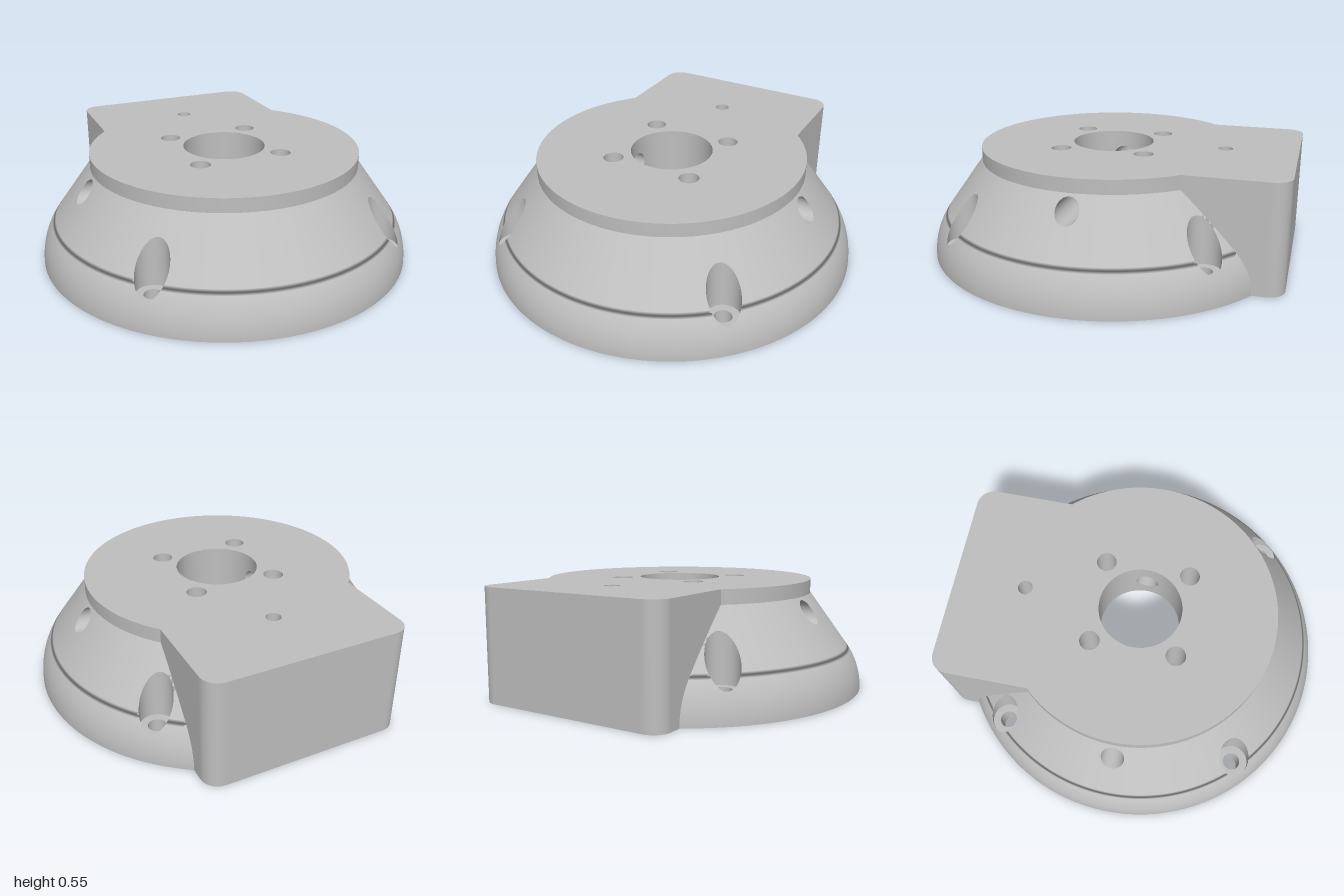
import * as THREE from 'three';

const H = 0.55, COLLAR_Y = 0.48, COLLAR_R = 0.685, BASE_R = 0.95;
const CAVITY_R = 0.738, CAVITY_Y = 0.275, BORE_R = 0.209;
const BOX_W = 0.507, BOX_D = 0.952, BOX_FILLET = 0.085;
const SCREW = 0.594, SCREW_R = 0.042, SINK_R = 0.08, SINK_Y = 0.135;
const SIDE_Y = 0.41, SIDE_R = 0.057;
const BOLT = 0.215, BOLT_R = 0.05, PIN_V = 0.59, PIN_R = 0.037;
const CORNERS = [[1, 1], [1, -1], [-1, 1], [-1, -1]];

// Outer radius by height: rounded foot, straight taper, upright collar
const bodyRadius = (y) =>
  y < 0.204 ? 0.6 + Math.sqrt(0.1225 - y * y) : Math.max(COLLAR_R, 0.8846 - (y - 0.204) * 0.723);

// Trim rules: positive where the surface stays
const radial = (p) => Math.hypot(p.x, p.z);
const outsideBox = (p) => Math.max(Math.abs(p.x) - BOX_W, p.z);
const outsideSinks = (p) => Math.hypot(Math.abs(p.x) - SCREW, Math.abs(p.z) - SCREW) - SINK_R;
const outsideSideHoles = (p) => Math.hypot(p.y - SIDE_Y, p.z) - SIDE_R;
const insideBody = (p) => bodyRadius(p.y) - radial(p);

// Grid a surface over (u, v) in 0..1 and cut it along keep(p) = 0
function trimmed(surface, nu, nv, keep = () => 1) {
  const positions = [], normals = [], e = 1e-4;
  const value = ([u, v]) => keep(surface(u, v));
  const emit = ([u, v]) => {
    const du = surface(Math.min(u + e, 1), v).sub(surface(Math.max(u - e, 0), v));
    const dv = surface(u, Math.min(v + e, 1)).sub(surface(u, Math.max(v - e, 0)));
    positions.push(...surface(u, v).toArray());
    normals.push(...du.cross(dv).normalize().toArray());
  };
  const crossing = (a, b) => {
    let lo = a, hi = b;
    for (let i = 0; i < 18; i++) {
      const mid = [(lo[0] + hi[0]) / 2, (lo[1] + hi[1]) / 2];
      if (value(mid) > 0) lo = mid; else hi = mid;
    }
    return lo;
  };
  const clip = (triangle) => {
    const kept = triangle.map((c) => value(c) > 0);
    const poly = [];
    triangle.forEach((a, i) => {
      const j = (i + 1) % 3, b = triangle[j];
      if (kept[i]) poly.push(a);
      if (kept[i] !== kept[j]) poly.push(kept[i] ? crossing(a, b) : crossing(b, a));
    });
    for (let i = 2; i < poly.length; i++) [poly[0], poly[i - 1], poly[i]].forEach(emit);
  };
  for (let i = 0; i < nu; i++) {
    for (let j = 0; j < nv; j++) {
      const a = [i / nu, j / nv], b = [(i + 1) / nu, j / nv];
      const c = [(i + 1) / nu, (j + 1) / nv], d = [i / nu, (j + 1) / nv];
      clip([a, b, c]);
      clip([a, c, d]);
    }
  }
  const geometry = new THREE.BufferGeometry();
  geometry.setAttribute('position', new THREE.Float32BufferAttribute(positions, 3));
  geometry.setAttribute('normal', new THREE.Float32BufferAttribute(normals, 3));
  return geometry;
}

// Upright round surface; facing 1 looks outward, -1 looks inward
const turned = (radius, y0, y1, facing = 1, cx = 0, cz = 0) => (u, v) => {
  const a = facing * u * Math.PI * 2, y = y0 + (y1 - y0) * v, r = radius(y);
  return new THREE.Vector3(cx + r * Math.sin(a), y, cz + r * Math.cos(a));
};

// Box outline from its right side round the back to its left side
function traceBox(path, start) {
  const cx = BOX_W - BOX_FILLET, cy = BOX_D - BOX_FILLET;
  path.moveTo(BOX_W, start);
  path.lineTo(BOX_W, cy);
  path.absarc(cx, cy, BOX_FILLET, 0, Math.PI / 2, false);
  path.lineTo(-cx, BOX_D);
  path.absarc(-cx, cy, BOX_FILLET, Math.PI / 2, Math.PI, false);
  path.lineTo(-BOX_W, start);
  return path;
}

// Disc joined with the box
function plateShape(r) {
  const start = Math.sqrt(r * r - BOX_W * BOX_W), a = Math.atan2(start, BOX_W);
  const shape = traceBox(new THREE.Shape(), start);
  shape.absarc(0, 0, r, Math.PI - a, Math.PI * 2 + a, false);
  return shape;
}

const disc = (r) => new THREE.Shape().absarc(0, 0, r, 0, Math.PI * 2, false);

// Flat face at height y with round holes [x, depth, radius]
function face(shape, holes, y, up) {
  for (const [x, d, r] of holes) {
    shape.holes.push(new THREE.Path().absarc(x, d, r, 0, Math.PI * 2, true));
  }
  const geometry = new THREE.ShapeGeometry(shape, 96).rotateX(-Math.PI / 2);
  if (!up) {
    geometry.index.array.reverse();
    const n = geometry.attributes.normal;
    for (let i = 0; i < n.count; i++) n.setY(i, -1);
  }
  return geometry.translate(0, y, 0);
}

export function createModel() {
  const model = new THREE.Group();
  model.name = 'mountingHub';
  const body = new THREE.Group();
  body.name = 'hubBody';
  body.rotation.y = 0.408;
  body.position.z = 0.045;
  model.add(body);

  const grey = new THREE.MeshStandardMaterial({ color: 0xbfbfbf });
  grey.name = 'plain grey';
  const add = (name, geometry) => {
    const mesh = new THREE.Mesh(geometry, grey);
    mesh.name = name;
    body.add(mesh);
  };
  const hole = (name, r, y0, y1, x = 0, z = 0) =>
    add(name, trimmed(turned(() => r, y0, y1, -1, x, z), 48, 1));

  // Outer shell
  add('taperedFlank', trimmed(turned(bodyRadius, 0, COLLAR_Y), 320, 40,
    (p) => Math.min(outsideBox(p), outsideSinks(p), outsideSideHoles(p))));
  add('collar', trimmed(turned(() => COLLAR_R, COLLAR_Y, H), 192, 3, outsideBox));

  // Rear block walls, starting where they leave the shell
  const outline = traceBox(new THREE.Path(), 0.3);
  add('rearBlock', trimmed((u, v) => {
    const q = outline.getPointAt(u);
    return new THREE.Vector3(q.x, v * H, -q.y);
  }, 180, 24, (p) => -insideBody(p)));

  // Flat faces
  const plateHoles = [[0, 0, BORE_R], [0, PIN_V, PIN_R],
    ...CORNERS.map(([x, d]) => [x * BOLT, d * BOLT, BOLT_R])];
  const screwHoles = CORNERS.map(([x, d]) => [x * SCREW, d * SCREW, SCREW_R]);
  add('topFace', face(plateShape(COLLAR_R), plateHoles, H, true));
  add('cavityCeiling', face(disc(CAVITY_R), plateHoles, CAVITY_Y, false));
  add('baseFace', face(plateShape(BASE_R), [[0, 0, CAVITY_R], ...screwHoles], 0, false));

  // Cavity, centre bore and plate holes
  add('cavityWall', trimmed(turned(() => CAVITY_R, 0, CAVITY_Y, -1), 96, 1));
  add('centreBore', trimmed(turned(() => BORE_R, CAVITY_Y, H, -1), 96, 24, outsideSideHoles));
  hole('pinHole', PIN_R, CAVITY_Y, H, 0, -PIN_V);

  // Bolt holes, and countersunk screw holes through the foot
  for (const [sx, sz] of CORNERS) {
    const x = sx * SCREW, z = sz * SCREW;
    hole('boltHole', BOLT_R, CAVITY_Y, H, sx * BOLT, sz * BOLT);
    hole('screwHole', SCREW_R, 0, SINK_Y, x, z);
    add('screwSinkWall', trimmed(turned(() => SINK_R, SINK_Y, 0.45, -1, x, z), 48, 20, insideBody));
    add('screwSinkFloor', face(disc(SINK_R), [[0, 0, SCREW_R]], SINK_Y, true).translate(x, 0, z));
  }

  // Sideways holes from the flank into the bore
  for (const side of [1, -1]) {
    add('sideHole', trimmed((u, v) => {
      const a = -side * u * Math.PI * 2;
      return new THREE.Vector3(side * (0.15 + 0.7 * v),
        SIDE_Y + SIDE_R * Math.cos(a), SIDE_R * Math.sin(a));
    }, 40, 30, (p) => Math.min(insideBody(p), radial(p) - BORE_R)));
  }
  return model;
}
